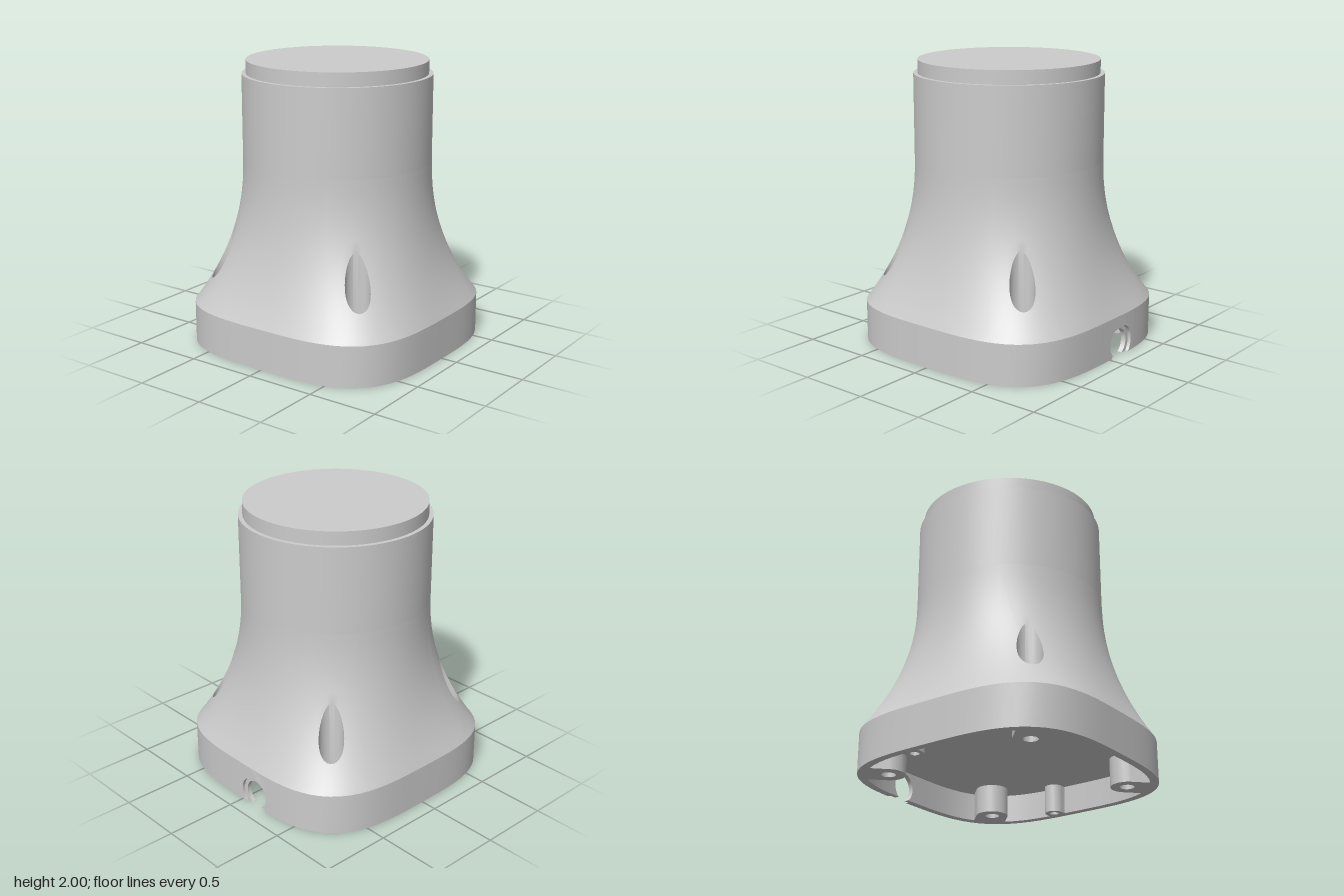
import * as THREE from 'three';
import { mergeGeometries, toCreasedNormals } from 'three/addons/utils/BufferGeometryUtils.js';

const N = 96;                       // steps round the body
const STEP = (Math.PI * 2) / N;
const HALF = 0.885, POWER = 3.4;    // rounded-square foot
const NECK = 0.66, FLARE = 2.2;     // round neck and flare curve
const FLARE_TOP = 1.3, FOOT_TOP = 0.29, CEILING = 0.2;
const INNER = 0.94;                 // cavity outline relative to the foot
const SCREW = 0.575;                // screw pockets at (+-SCREW, +-SCREW)
const NOTCH = [67, 73];             // steps covered by the cable notch panel

const material = new THREE.MeshStandardMaterial({ color: 0xcccccc });
const range = (a, b) => Array.from({ length: b - a + 1 }, (_, i) => a + i);

// Radius of the rounded-square foot at an angle
const foot = (a) => HALF / (Math.abs(Math.cos(a)) ** POWER + Math.abs(Math.sin(a)) ** POWER) ** (1 / POWER);
const polar = (a, r, y) => [r * Math.cos(a), y, r * Math.sin(a)];

// Flare surface: u = 0 at the neck, u = 1 at the foot
const flare = (a, u) =>
  polar(a, NECK + (foot(a) - NECK) * u ** FLARE, FLARE_TOP - (FLARE_TOP - FOOT_TOP) * u);

// Surface through a grid of points, grid[i][j]
function surface(grid) {
  const pos = [];
  for (let i = 0; i < grid.length - 1; i++)
    for (let j = 0; j < grid[i].length - 1; j++) {
      const a = grid[i][j], b = grid[i + 1][j], c = grid[i + 1][j + 1], d = grid[i][j + 1];
      pos.push(...a, ...b, ...c, ...a, ...c, ...d);
    }
  const g = new THREE.BufferGeometry();
  g.setAttribute('position', new THREE.Float32BufferAttribute(pos, 3));
  return g;
}
const band = (from, to, column) => surface(range(from, to).map((i) => column((i % N) * STEP)));

// Flare corner with a round screw pocket sunk straight down through it
function pocketCorner(centreStep) {
  const mid = centreStep * STEP, w = 4, rows = 16;
  const loop = [
    ...range(0, rows - 1).map((k) => [w, k / rows]),
    ...range(0, 2 * w - 1).map((k) => [w - k, 1]),
    ...range(0, rows - 1).map((k) => [-w, 1 - k / rows]),
    ...range(0, 2 * w).map((k) => [-w + k, 0]),
  ];
  const cx = Math.SQRT2 * SCREW;
  return surface(loop.map(([s, u]) => {
    const turn = Math.atan2(s / w, (u - 0.6) * 2);
    const at = (r, y) => {
      const px = cx + r * Math.cos(turn), pz = r * Math.sin(turn);
      return polar(mid + Math.atan2(pz, px), Math.hypot(px, pz), y);
    };
    // rim of the pocket expressed on the flare
    const rim = at(0.085, 0);
    const a = Math.atan2(rim[2], rim[0]);
    const angle = mid + Math.atan2(Math.sin(a - mid), Math.cos(a - mid));
    const uRim = ((Math.hypot(rim[0], rim[2]) - NECK) / (foot(angle) - NECK)) ** (1 / FLARE);
    const edge = mid + s * STEP;
    const skin = range(0, 6).map((k) =>
      flare(edge + ((angle - edge) * k) / 6, u + ((uRim - u) * k) / 6));
    return [...skin, at(0.085, 0.28), at(0.05, 0.28), at(0.05, CEILING)];
  }));
}

// One layer of the back wall panel with the cable notch cut from below
function notchLayer(radius, d0, d1) {
  const edge = range(...NOTCH).map((i) => polar(i * STEP, foot(i * STEP), 0)[0]);
  const cx = -0.13, cy = 0.085, a = Math.asin(cy / radius);
  const s = new THREE.Shape();
  s.moveTo(edge[0], 0);
  for (const k of range(0, 32)) {
    const t = Math.PI + a - ((Math.PI + 2 * a) * k) / 32;
    s.lineTo(cx + radius * Math.cos(t), cy + radius * Math.sin(t));
  }
  s.lineTo(edge[edge.length - 1], 0);
  edge.slice().reverse().forEach((x) => s.lineTo(x, FOOT_TOP));
  const g = new THREE.ExtrudeGeometry(s, { depth: 1, bevelEnabled: false });
  // bend the flat panel on to the wall
  const p = g.attributes.position;
  for (let i = 0; i < p.count; i++) {
    const x = p.getX(i), k = 1 - (1 - INNER) * (d0 + (d1 - d0) * p.getZ(i));
    const z = (HALF ** POWER - Math.abs(x) ** POWER) ** (1 / POWER);
    p.setXYZ(i, x * k, p.getY(i), -z * k);
  }
  g.computeVertexNormals();
  return g;
}

// Screw boss: round end towards the middle, straight sides into the wall
function boss(x, z, angle, r, hole, reach) {
  const s = new THREE.Shape();
  s.moveTo(reach, r);
  s.lineTo(0, r);
  s.absarc(0, 0, r, Math.PI / 2, Math.PI * 1.5, false);
  s.lineTo(reach, -r);
  s.holes.push(new THREE.Path().absarc(0, 0, hole, 0, Math.PI * 2, true));
  const g = new THREE.ExtrudeGeometry(s, { depth: CEILING, bevelEnabled: false, curveSegments: 24 });
  return g.rotateZ(angle).rotateX(Math.PI / 2).translate(x, CEILING, z);
}

export function createModel() {
  const group = new THREE.Group();
  const add = (name, geometry) => {
    const mesh = new THREE.Mesh(toCreasedNormals(geometry, 0.4), material);
    mesh.name = name;
    group.add(mesh);
  };

  // Round neck with the stepped top
  add('neck', band(0, N, (a) => [
    polar(a, 0, 2), polar(a, 0.63, 2), polar(a, 0.63, 1.905), polar(a, NECK, 1.905), polar(a, NECK, FLARE_TOP),
  ]));

  // Flare: plain stretches between four pocketed corners
  const corners = [12, 36, 60, 84];
  add('flaredBody', mergeGeometries([
    ...corners.map((c) => band(c + 4, c + 20, (a) => range(0, 16).map((j) => flare(a, j / 16)))),
    ...corners.map(pocketCorner),
  ]));

  // Foot wall, bottom rim and inner wall, open where the notch panel sits
  add('footWall', band(NOTCH[1], NOTCH[0] + N, (a) => [
    polar(a, foot(a), FOOT_TOP), polar(a, foot(a), 0),
    polar(a, foot(a) * INNER, 0), polar(a, foot(a) * INNER, CEILING),
  ]));
  add('cableNotchRecess', notchLayer(0.13, 0, 0.4));
  add('cableNotch', notchLayer(0.1, 0.4, 1));

  // Cavity ceiling, pierced by the screw holes
  const outline = range(0, N - 1).map((i) => {
    const [x, , z] = polar(i * STEP, foot(i * STEP) * INNER, 0);
    return new THREE.Vector2(x, z);
  });
  const ceiling = new THREE.Shape(outline);
  for (const sx of [-1, 1]) for (const sz of [-1, 1])
    ceiling.holes.push(new THREE.Path().absarc(sx * SCREW, sz * SCREW, 0.05, 0, Math.PI * 2, true));
  add('cavityCeiling', new THREE.ShapeGeometry(ceiling, 24).rotateX(Math.PI / 2).translate(0, CEILING, 0));

  // Corner screw bosses and two small side bosses
  for (const c of corners) {
    const a = c * STEP;
    add('cornerBoss', boss(...[Math.cos(a), Math.sin(a)].map((v) => v * SCREW * Math.SQRT2), a, 0.115, 0.05, 0.175));
  }
  for (const side of [1, -1])
    add('sideBoss', boss(side * 0.79, -0.17, side > 0 ? 0 : Math.PI, 0.065, 0.032, 0.07));

  return group;
}
